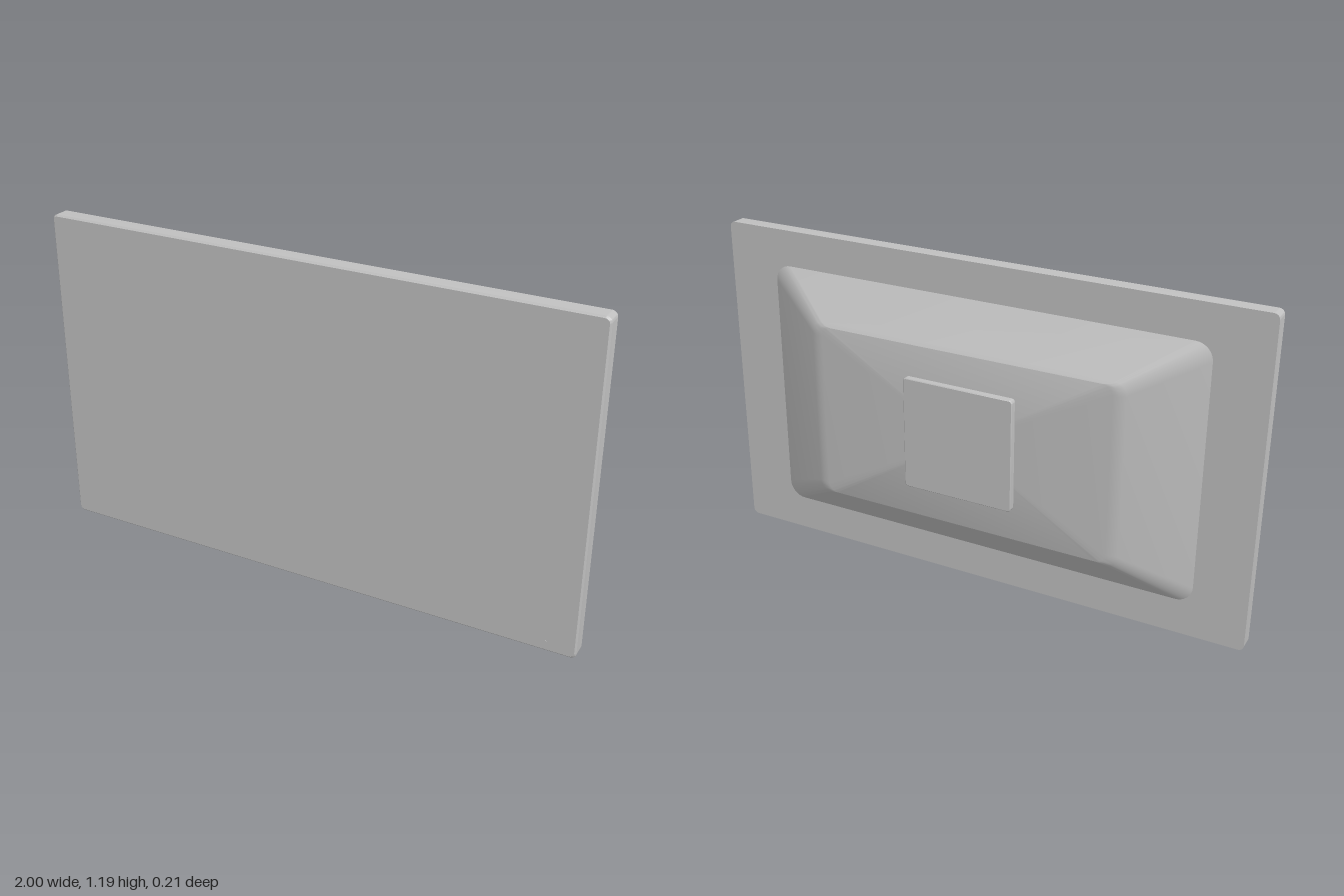
import * as THREE from 'three';
import { toCreasedNormals } from 'three/addons/utils/BufferGeometryUtils.js';

const CENTRE_Y = 0.595;
const CORNER_STEPS = 8;

// Rounded rectangle around the screen centre, counter-clockwise seen from +z
function ring([halfW, halfH, radius, z]) {
  const points = [];
  const corners = [[1, 1], [-1, 1], [-1, -1], [1, -1]];
  corners.forEach(([sx, sy], c) => {
    for (let i = 0; i <= CORNER_STEPS; i++) {
      const a = (c + i / CORNER_STEPS) * Math.PI / 2;
      points.push([
        sx * (halfW - radius) + radius * Math.cos(a),
        CENTRE_Y + sy * (halfH - radius) + radius * Math.sin(a),
        z,
      ]);
    }
  });
  return points;
}

// Closed solid through sections [halfWidth, halfHeight, cornerRadius, z], back to front
function loft(sections) {
  const rings = sections.map(ring);
  const n = rings[0].length;
  const last = rings.length - 1;
  const back = [0, CENTRE_Y, sections[0][3]];
  const front = [0, CENTRE_Y, sections[last][3]];
  const pos = [];
  const tri = (a, b, c) => pos.push(...a, ...b, ...c);
  for (let i = 0; i < n; i++) {
    const j = (i + 1) % n;
    for (let k = 0; k < last; k++) {
      const a = rings[k], b = rings[k + 1];
      tri(a[i], a[j], b[j]);
      tri(a[i], b[j], b[i]);
    }
    tri(back, rings[0][j], rings[0][i]);
    tri(front, rings[last][i], rings[last][j]);
  }
  const geometry = new THREE.BufferGeometry();
  geometry.setAttribute('position', new THREE.Float32BufferAttribute(pos, 3));
  return toCreasedNormals(geometry, 0.5);
}

export function createModel() {
  const group = new THREE.Group();
  const grey = new THREE.MeshStandardMaterial({ color: 0xc0c0c0 });
  grey.name = 'grey';

  const add = (name, geometry) => {
    const mesh = new THREE.Mesh(geometry, grey);
    mesh.name = name;
    group.add(mesh);
    return mesh;
  };

  // Flat screen slab with a fine bevel around the front
  add('screenPanel', loft([
    [1, 0.595, 0.02, 0.045],
    [1, 0.595, 0.02, 0.097],
    [0.994, 0.589, 0.016, 0.103],
  ]));

  // Tapered rear housing, its side edges softly rounded into the back
  add('rearHousing', loft([
    [0.54, 0.32, 0.035, -0.083],
    [0.562, 0.323, 0.038, -0.0805],
    [0.584, 0.331, 0.042, -0.073],
    [0.81, 0.465, 0.06, 0.045],
  ]));

  // Square mounting plate
  add('mountPlate', loft([
    [0.202, 0.202, 0.009, -0.105],
    [0.205, 0.205, 0.012, -0.102],
    [0.205, 0.205, 0.012, -0.08],
  ]));

  // Tiny power indicator in the lower corner
  const light = add('powerIndicator', new THREE.CylinderGeometry(0.005, 0.005, 0.004, 16));
  light.rotation.x = Math.PI / 2;
  light.position.set(0.895, 0.036, 0.103);

  return group;
}
